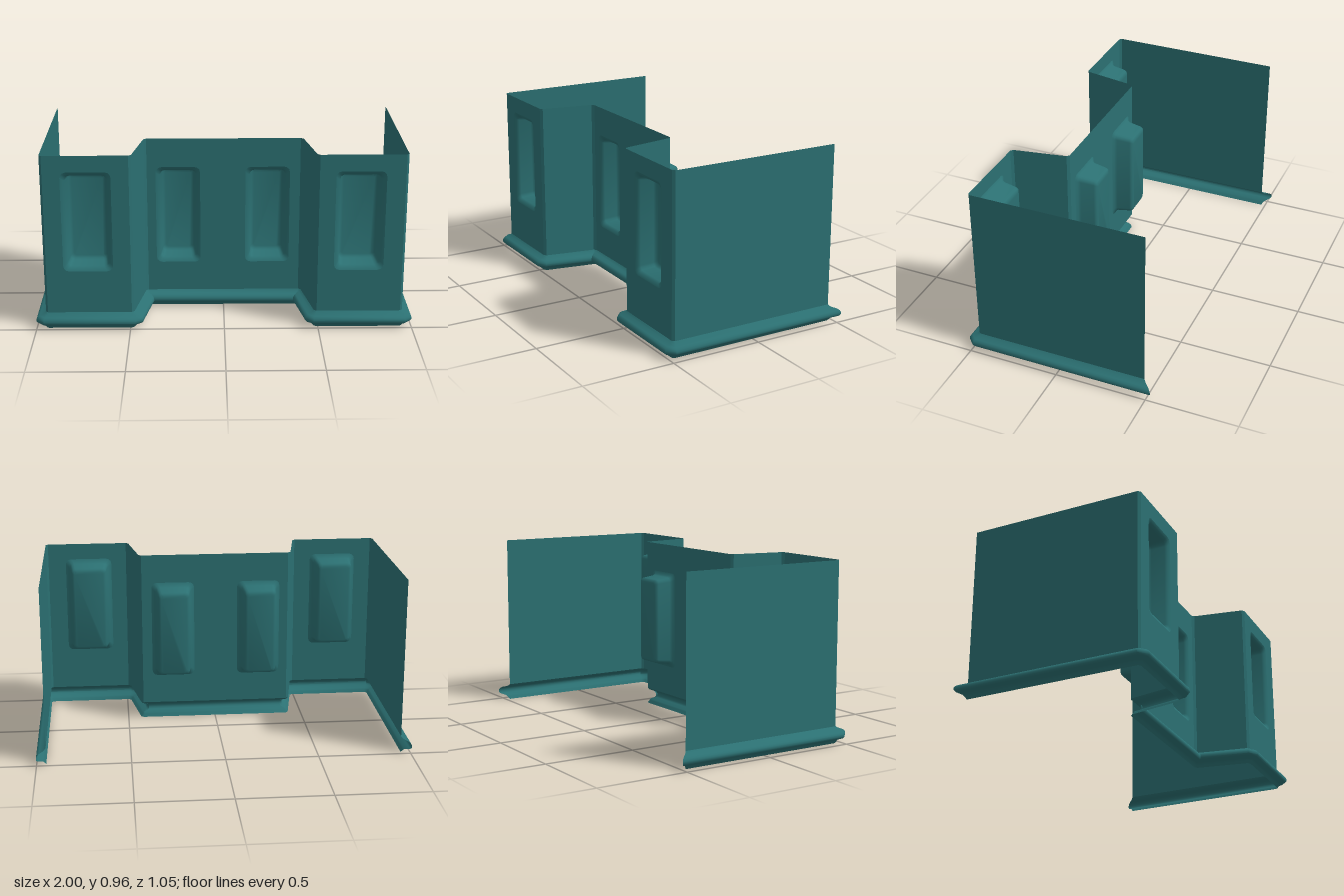
import * as THREE from 'three';
import { toCreasedNormals } from 'three/addons/utils/BufferGeometryUtils.js';

const material = new THREE.MeshStandardMaterial({ color: 0x2b7072, side: THREE.DoubleSide });
const V = (x, y) => new THREE.Vector2(x, y);
const HEIGHT = 0.96, SKIRT = 0.09;

// Plan corners of the wall as (x, z); the two outermost points only set the mitre of the open ends
const half = [[0.45, -0.475], [0.95, -0.475], [0.95, 0.475], [0.48, 0.475], [0.425, 0.17]];
const corners = [...half.map(([x, z]) => V(-x, z)), ...half.map(([x, z]) => V(x, z)).reverse()];

// Cut each inner corner with a small chamfer
function chamferedPath(points, size) {
  return points.flatMap((p, i) => {
    if (i < 2 || i > points.length - 3) return [p];
    const toward = q => p.clone().add(q.clone().sub(p).setLength(size));
    return [toward(points[i - 1]), toward(points[i + 1])];
  });
}

// Mitred outward direction at every point between the two end guides
function mitres(path) {
  const normal = (a, b) => V(a.y - b.y, b.x - a.x).normalize();
  return path.slice(1, -1).map((p, i) => {
    const a = normal(path[i], p), b = normal(p, path[i + 2]);
    return a.clone().add(b).divideScalar(1 + a.dot(b));
  });
}

// Skin a list of equally long rows of points
function loft(rows, closed, crease, cap = false) {
  const n = rows[0].length, index = [];
  for (let r = 0; r < rows.length - 1; r++) {
    for (let i = 0; i < (closed ? n : n - 1); i++) {
      const a = r * n + i, b = r * n + (i + 1) % n;
      index.push(a, b, a + n, b, b + n, a + n);
    }
  }
  const base = (rows.length - 1) * n;
  if (cap) for (let i = 1; i < n - 1; i++) index.push(base, base + i, base + i + 1);
  const geometry = new THREE.BufferGeometry();
  geometry.setAttribute('position', new THREE.Float32BufferAttribute(rows.flat(2), 3));
  geometry.setIndex(index);
  return toCreasedNormals(geometry, crease);
}

// Rounded rectangle outline, counter-clockwise
function roundedRect(cx, cy, hw, hh, r) {
  const points = [];
  [[1, 1], [-1, 1], [-1, -1], [1, -1]].forEach(([sx, sy], k) => {
    for (let j = 0; j <= 3; j++) {
      const t = (k + j / 3) * Math.PI / 2;
      points.push(V(cx + sx * (hw - r) + r * Math.cos(t), cy + sy * (hh - r) + r * Math.sin(t)));
    }
  });
  return points;
}

export function createModel() {
  const group = new THREE.Group();
  const add = (name, geometry) => {
    const mesh = new THREE.Mesh(geometry, material);
    mesh.name = name;
    group.add(mesh);
  };
  const path = chamferedPath(corners, 0.012);
  const outward = mitres(path);
  const run = path.slice(1, -1);

  // Base moulding: (outward offset, height) profile swept along the plan
  const profile = [[0, SKIRT], [0.011, 0.079], [0.034, 0.072], [0.045, 0.064], [0.05, 0.054],
    [0.05, 0.042], [0.042, 0.032], [0.016, 0.022], [0.01, 0.014], [0, 0]];
  const sweep = rows => rows.map(([o, y]) =>
    run.map((p, i) => [p.x + outward[i].x * o, y, p.y + outward[i].y * o]));
  const rows = sweep(profile).map(row => row.slice().reverse());
  add('baseMoulding', loft(rows, false, 0.75));

  // Recessed windows: centre x, centre y, half width, wall z
  const windows = [
    [-0.716, 0.597, 0.105, 0.475], [-0.246, 0.527, 0.094, 0.17],
    [0.238, 0.527, 0.094, 0.17], [0.708, 0.597, 0.105, 0.475],
  ];
  const outline = ([x, y, hw], grow, r) => roundedRect(x, y, hw + grow, 0.247 + grow, r);

  // Flat wall panels, pierced where a window sits
  for (let i = 0; i < run.length - 1; i++) {
    const a = run[i], b = run[i + 1];
    if (Math.abs(a.y - b.y) < 1e-6) {
      const shape = new THREE.Shape([V(a.x, SKIRT), V(b.x, SKIRT), V(b.x, HEIGHT), V(a.x, HEIGHT)]);
      windows.filter(w => w[0] > a.x && w[0] < b.x)
        .forEach(w => shape.holes.push(new THREE.Path(outline(w, 0.026, 0.03))));
      add('frontPanel', new THREE.ShapeGeometry(shape).translate(0, 0, a.y));
    } else {
      add('wallPanel', loft([SKIRT, HEIGHT].map(y => [[a.x, y, a.y], [b.x, y, b.y]]), false, 0.1));
    }
  }

  // Window pockets: flared mouth, drafted sides and bevelled back
  const sections = [[0.026, 0, 0.03], [0.01, 0.008, 0.028], [0.003, 0.022, 0.025],
    [-0.006, 0.092, 0.022], [-0.011, 0.104, 0.02], [-0.024, 0.11, 0.015]];
  windows.forEach(w => {
    const rings = sections.map(([grow, depth, r]) =>
      outline(w, grow, r).map(p => [p.x, p.y, w[3] - depth]));
    add('windowPocket', loft(rings, true, 0.9, true));
  });
  return group;
}
